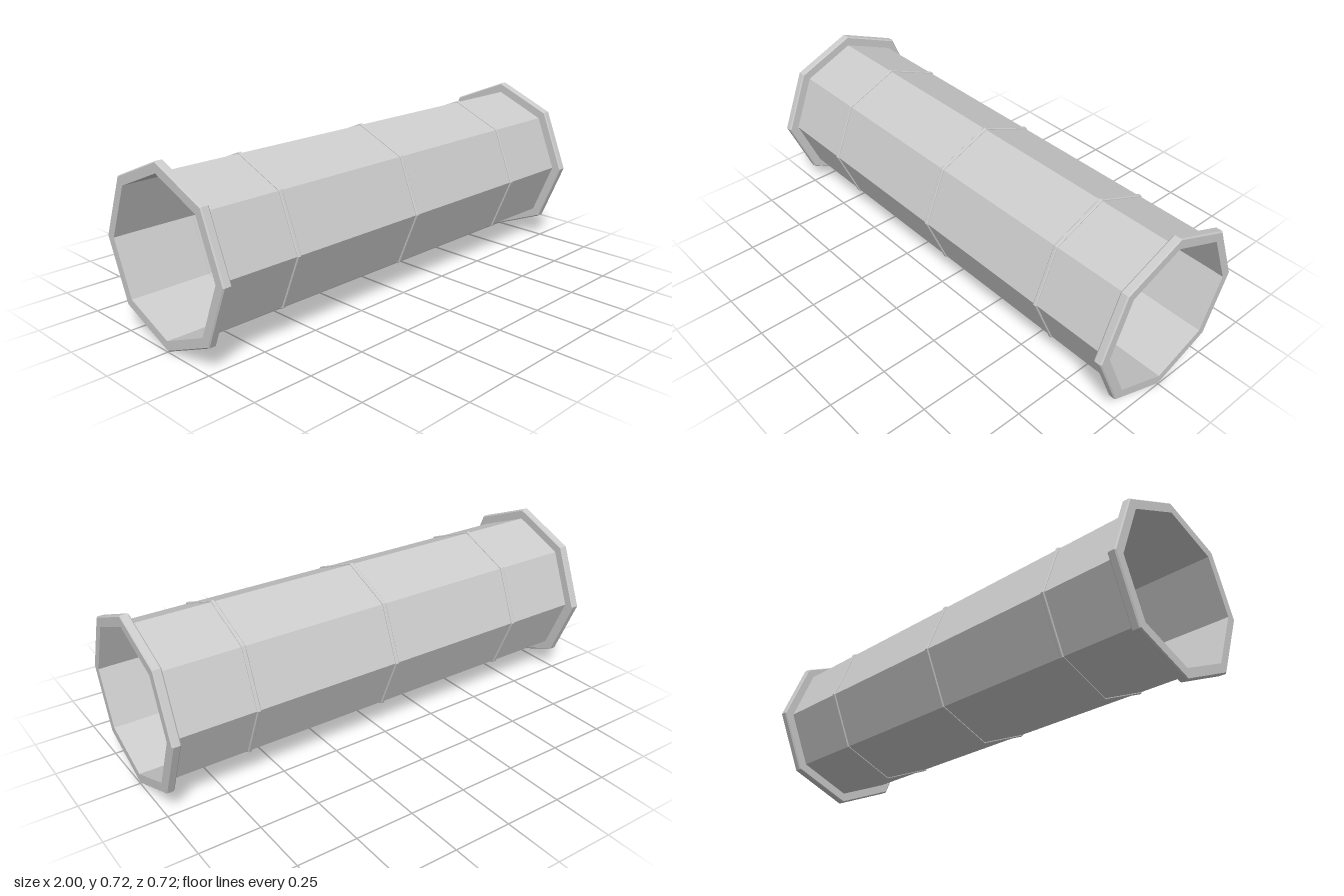
import * as THREE from 'three';

const SIDES = 8;
const AXIS_Y = 0.362;
const PIPE_R = 0.319;

const solid = new THREE.MeshStandardMaterial({ color: 0xcccccc, flatShading: true });
const thin = new THREE.MeshStandardMaterial({ color: 0xcccccc, flatShading: true, side: THREE.DoubleSide });

// Octagonal lathe around the x axis; profile points are [radius, offset along the axis]
function turned(name, profile, material, x = 0) {
  const geometry = new THREE.LatheGeometry(profile.map(([r, a]) => new THREE.Vector2(r, a)), SIDES);
  geometry.rotateZ(-Math.PI / 2);
  const mesh = new THREE.Mesh(geometry, material);
  mesh.name = name;
  mesh.position.set(x, AXIS_Y, 0);
  return mesh;
}

// Closed ring section with chamfered outer edges
function ringProfile(inner, outer, width, bevel) {
  const h = width / 2;
  return [
    [inner, -h], [outer - bevel, -h], [outer, -h + bevel],
    [outer, h - bevel], [outer - bevel, h], [inner, h], [inner, -h],
  ];
}

export function createModel() {
  const group = new THREE.Group();
  group.name = 'pipeSegment';

  // Open thin-walled pipe
  group.add(turned('pipeWall', [[PIPE_R, -0.98], [PIPE_R, 0.98]], thin));

  // End flanges
  for (const [name, side] of [['leftFlange', 1], ['rightFlange', -1]]) {
    group.add(turned(name, ringProfile(PIPE_R - 0.001, 0.362, 0.036, 0.005), solid, side * 0.982));
  }

  // Narrow seam bands
  const band = ringProfile(PIPE_R - 0.001, 0.325, 0.016, 0.003);
  for (const [name, x] of [['rightBand', -0.635], ['middleBand', 0], ['leftBand', 0.635]]) {
    group.add(turned(name, band, solid, x));
  }
  return group;
}
